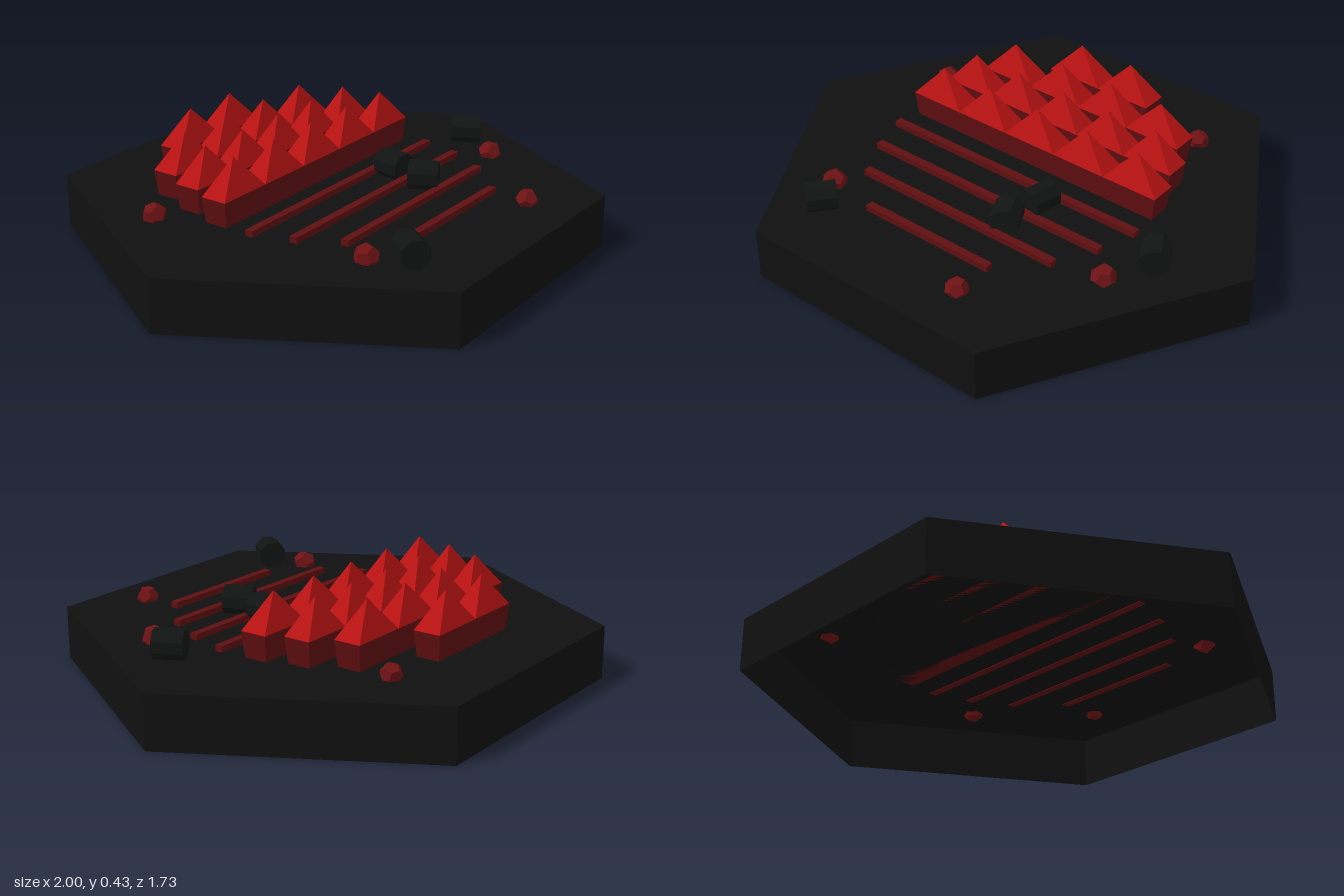
import * as THREE from 'three';

const flat = (name, color, side = THREE.FrontSide) => {
  const m = new THREE.MeshStandardMaterial({ color, side, flatShading: true });
  m.name = name;
  return m;
};

export function createModel() {
  const ground = flat('ground black', 0x101010, THREE.DoubleSide);
  const baleBlack = flat('bale black', 0x121414);
  const cropRed = flat('crop red', 0xb81212);
  const bedRed = flat('bed dark red', 0x5e0e10);
  const stoneRed = flat('stone red', 0x6e1214);

  const model = new THREE.Group();
  model.name = 'hexFieldTile';
  const add = (name, geo, mat, parent = model) => {
    const mesh = new THREE.Mesh(geo, mat);
    mesh.name = name;
    parent.add(mesh);
    return mesh;
  };

  // Hollow six-sided base: walls and top, open underneath
  add('baseWalls', new THREE.CylinderGeometry(1, 1, 0.2, 6, 1, true, Math.PI / 6).translate(0, 0.1, 0), ground);
  add('baseTop', new THREE.CircleGeometry(1, 6).rotateX(-Math.PI / 2).translate(0, 0.2, 0), ground);
  // Thin round field patch
  add('fieldPatch', new THREE.CircleGeometry(0.72, 14).rotateX(-Math.PI / 2).translate(0, 0.204, 0), ground);

  // Field rows, laid side by side along a turned axis
  const field = new THREE.Group();
  field.name = 'field';
  field.rotation.y = -Math.PI / 6;
  model.add(field);
  const rowX = (i) => -0.555 + i * 0.154;

  // Raised beds, slightly narrower at the foot, topped with pointed crops
  const bedGeometry = (w, h, l) => {
    const g = new THREE.BoxGeometry(w, h, l);
    const p = g.attributes.position;
    for (let i = 0; i < p.count; i++) {
      if (p.getY(i) < 0) {
        p.setX(i, p.getX(i) * 0.86);
        p.setZ(i, p.getZ(i) - Math.sign(p.getZ(i)) * 0.012);
      }
    }
    return g;
  };
  [[0.46, 2, 0.025], [0.91, 4, 0.007], [1.04, 5, 0], [1.12, 5, 0]].forEach(([len, count, z], i) => {
    const row = new THREE.Group();
    row.name = 'cropRow' + (i + 1);
    row.position.set(rowX(i), 0.2, z);
    field.add(row);
    add('bed', bedGeometry(0.104, 0.1, len).translate(0, 0.05, 0), bedRed, row);
    const step = len / count;
    for (let k = 0; k < count; k++) {
      const cone = new THREE.ConeGeometry(Math.SQRT1_2, 1, 4, 1, true)
        .rotateY(Math.PI / 4).scale(0.104, 0.126, step);
      add('crop', cone, cropRed, row).position.set(0, 0.163, (k + 0.5) * step - len / 2);
    }
  });

  // Low bare furrows
  [1.12, 1.03, 0.865, 0.555].forEach((len, i) => {
    add('furrow', new THREE.BoxGeometry(0.03, 0.03, len), bedRed, field).position.set(rowX(i + 4), 0.212, 0);
  });

  // Small stones around the field: x, z, radius
  [[-0.275, -0.635, 0.041], [0.58, -0.365, 0.046], [0.715, 0.11, 0.042],
    [0.185, 0.66, 0.047], [-0.58, 0.385, 0.045]].forEach(([x, z, r], i) => {
    const stone = add('stone', new THREE.DodecahedronGeometry(r, 0), stoneRed);
    stone.position.set(x, 0.216, z);
    stone.rotation.set(i * 0.7, i * 1.3, 0.2);
  });

  // Round bales lying on their sides: x, z, heading
  [[0.33, 0.67, 0.35], [0.34, 0.0, 1.5], [0.225, -0.1, 0.85], [0.485, -0.53, 1.55]].forEach(([x, z, turn]) => {
    const g = new THREE.CylinderGeometry(0.055, 0.055, 0.11, 8).rotateY(Math.PI / 8).rotateX(Math.PI / 2);
    const bale = add('bale', g, baleBlack);
    bale.position.set(x, 0.253, z);
    bale.rotation.y = turn;
  });

  return model;
}
